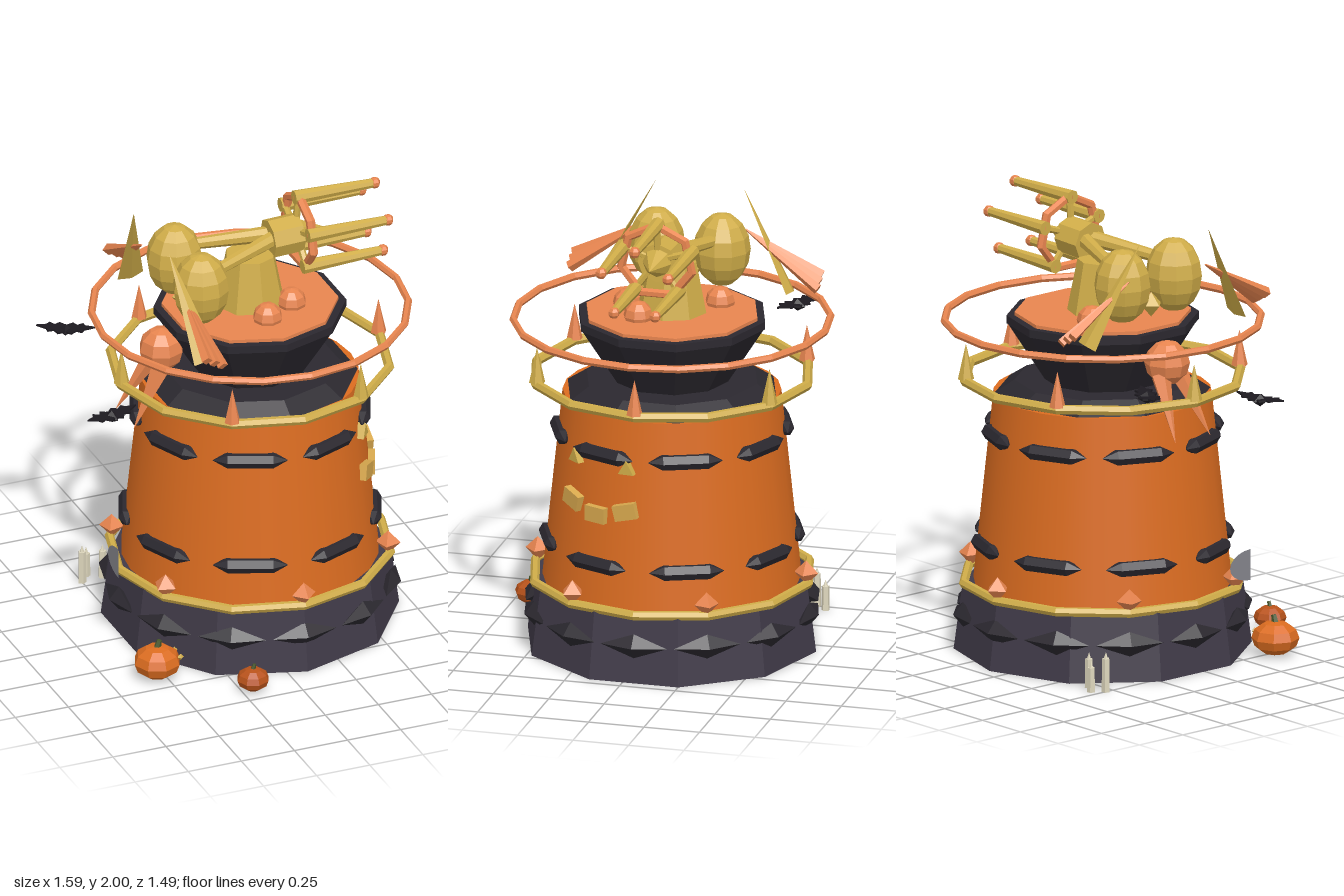
import * as THREE from 'three';

const mat = (color) => new THREE.MeshStandardMaterial({ color, flatShading: true, side: THREE.DoubleSide });
const V = (x, y, z) => new THREE.Vector3(x, y, z);

export function createModel() {
  const root = new THREE.Group();
  const orange = mat(0xdb6c20), dark = mat(0x2b282f), slate = mat(0x403a48), gold = mat(0xd0ad49);
  const coral = mat(0xe8854f), black = mat(0x1d1a20), deepOrange = mat(0xb8521a), wax = mat(0xddd6bc);
  const stone = mat(0x85858c), pale = mat(0xd9a94e), green = mat(0x46552a);
  const smoothOrange = orange.clone();
  smoothOrange.flatShading = false;

  const add = (name, geo, material, x = 0, y = 0, z = 0, parent = root) => {
    const m = new THREE.Mesh(geo, material);
    m.name = name;
    m.position.set(x, y, z);
    parent.add(m);
    return m;
  };
  // Tapered rod between two points
  const bar = (name, a, b, r1, r2, material, sides = 8, parent = root) => {
    const d = b.clone().sub(a);
    const m = add(name, new THREE.CylinderGeometry(r2, r1, d.length(), sides), material, 0, 0, 0, parent);
    m.position.copy(a).lerp(b, 0.5);
    m.quaternion.setFromUnitVectors(V(0, 1, 0), d.normalize());
    return m;
  };

  // Tower: everything concentric lives in one offset group
  const tower = new THREE.Group();
  tower.name = 'tower';
  tower.position.set(0.085, 0, -0.05);
  root.add(tower);
  const tier = (name, y0, y1, r0, r1, sides, material) =>
    add(name, new THREE.CylinderGeometry(r1, r0, y1 - y0, sides), material, 0, (y0 + y1) / 2, 0, tower);
  const hoop = (name, y, r, tube, sides, material) =>
    add(name, new THREE.TorusGeometry(r, tube, 6, sides).rotateX(Math.PI / 2), material, 0, y, 0, tower);
  // Local +z of the part faces away from the tower axis
  const polar = (name, geo, material, angle, r, y) => {
    const m = add(name, geo, material, Math.sin(angle) * r, y, Math.cos(angle) * r, tower);
    m.rotation.y = angle;
    return m;
  };

  tier('base', 0, 0.3, 0.65, 0.61, 10, slate);
  tier('body', 0.3, 1.15, 0.563, 0.475, 24, smoothOrange);
  tier('shoulder', 1.15, 1.205, 0.47, 0.385, 10, dark);
  tier('neck', 1.2, 1.46, 0.25, 0.415, 10, dark);
  tier('deckRim', 1.46, 1.495, 0.42, 0.42, 10, dark);
  tier('deck', 1.47, 1.51, 0.385, 0.385, 10, coral);
  tier('pedestal', 1.51, 1.74, 0.155, 0.11, 8, gold);
  hoop('baseHoop', 0.31, 0.615, 0.021, 12, gold);
  hoop('spikeRing', 1.22, 0.61, 0.022, 12, gold);
  hoop('outerRing', 1.475, 0.69, 0.017, 20, coral);

  // Dark lozenges around the body and base
  const lozenge = new THREE.LatheGeometry(
    [[0, -0.165], [0.036, -0.1], [0.036, 0.1], [0, 0.165]].map((p) => new THREE.Vector2(...p)), 6).rotateZ(Math.PI / 2);
  for (let i = 0; i < 8; i++) {
    const a = ((i + 0.5) * Math.PI) / 4;
    polar('upperLozenge', lozenge, dark, a, 0.487, 0.98);
    polar('lowerLozenge', lozenge, dark, a, 0.535, 0.49);
  }
  const diamond = new THREE.OctahedronGeometry(1).scale(0.15, 0.055, 0.045);
  for (let i = 0; i < 12; i++) polar('baseDiamond', diamond, dark, (i * Math.PI) / 6, 0.617, 0.17);

  // Six studs and six alternating spikes
  for (let i = 0; i < 6; i++) {
    polar('stud', new THREE.OctahedronGeometry(0.055), coral, (i * Math.PI) / 3, 0.605, 0.36);
    polar('spike', new THREE.ConeGeometry(0.036, 0.16, 6), i % 2 ? gold : coral, Math.PI / 2 + (i * Math.PI) / 3, 0.605, 1.31);
  }

  // Carved face: two eyes and a stepped mouth
  for (const deg of [51, 83]) {
    const eye = polar('eye', new THREE.CylinderGeometry(0.042, 0.042, 0.05, 3).rotateX(-Math.PI / 2), gold,
      THREE.MathUtils.degToRad(deg), 0.5, 0.94);
    eye.rotateZ(0);
  }
  [-1, 0, 1].forEach((k) => {
    const tooth = polar('mouthBlock', new THREE.BoxGeometry(0.105, 0.07, 0.035), pale,
      THREE.MathUtils.degToRad(67 + k * 16), 0.525, 0.715 + Math.abs(k) * 0.035);
    tooth.rotateZ(k * 0.25);
  });

  // Domes on the deck
  for (const [x, z] of [[-0.05, -0.23], [0.085, 0.15], [0.235, 0.06]])
    add('deckDome', new THREE.SphereGeometry(0.066, 8, 6), coral, x, 1.525, z);

  // Cannon hub, ring and five prongs
  const cy = 1.81, cz = -0.045;
  bar('hub', V(0.17, 1.795, cz), V(0.31, 1.8, cz), 0.088, 0.088, gold);
  bar('hubTip', V(0.3, 1.8, cz), V(0.43, 1.8, cz), 0.07, 0.002, gold);
  add('prongRing', new THREE.TorusGeometry(0.163, 0.021, 6, 7).rotateZ(Math.PI / 2).rotateY(Math.PI / 2), coral, 0.315, cy, cz);
  for (let i = 0; i < 5; i++) {
    const a = (i * Math.PI * 2) / 5;
    const at = (x, r) => V(x, cy + Math.cos(a) * r, cz + Math.sin(a) * r);
    bar('spoke', at(0.3, 0.04), at(0.31, 0.16), 0.016, 0.016, gold, 6);
    bar('prong', at(0.29, 0.163), at(0.67, 0.158), 0.032, 0.021, gold);
    add('prongJoint', new THREE.SphereGeometry(0.027, 6, 5), coral, ...at(0.315, 0.163).toArray());
    add('prongTip', new THREE.SphereGeometry(0.026, 6, 5), coral, ...at(0.67, 0.158).toArray());
  }

  // Mirrored pairs: balloon tanks, arms, wings and horns
  for (const s of [-1, 1]) {
    const z = (d) => cz + s * d;
    add('tank', new THREE.SphereGeometry(0.125, 10, 8).scale(1, 1.32, 1), gold, -0.21, 1.705, z(0.148));
    bar('arm', V(-0.15, 1.765, z(0.14)), V(0.22, 1.81, z(0.01)), 0.025, 0.037, gold);
    const fin = bar('fin', V(-0.3, 1.5, z(0.43)), V(-0.38, 1.93, z(0.2)), 0.06, 0.001, gold, 4);
    fin.scale.z = 0.25;
    for (let k = -1; k <= 1; k++)
      bar('feather', V(-0.315 + k * 0.037, 1.555 - k * 0.02, z(0.56)), V(-0.335, 1.76, z(0.22)), 0.025, 0.004, coral, 4);
    bar('horn', V(-0.35, 1.31, z(0.05)), V(-0.505, 1.05, z(0.1)), 0.045, 0.001, coral, 5);
  }
  add('rearOrb', new THREE.SphereGeometry(0.1, 8, 6), coral, -0.335, 1.36, cz);
  add('rearGem', new THREE.OctahedronGeometry(0.055), gold, -0.23, 1.6, cz);

  // Bats: two pointed scalloped wings on a small body
  const wing = new THREE.Shape([[0, -0.03], [0.03, -0.05], [0.05, -0.025], [0.075, -0.04], [0.085, -0.018],
    [0.13, 0], [0.085, 0.018], [0.075, 0.04], [0.05, 0.025], [0.03, 0.05], [0, 0.03]].map((p) => new THREE.Vector2(...p)));
  const wingGeo = new THREE.ExtrudeGeometry(wing, { depth: 0.008, bevelEnabled: false }).rotateX(-Math.PI / 2);
  for (const [x, y, z, turn] of [[-0.63, 1.33, -0.415, -0.48], [-0.67, 1.215, 0.2, 0.21]]) {
    const bat = new THREE.Group();
    bat.name = 'bat';
    bat.position.set(x, y, z);
    bat.rotation.y = turn;
    root.add(bat);
    add('batBody', new THREE.OctahedronGeometry(0.035).scale(1, 0.8, 1.4), black, 0, 0, 0, bat);
    for (const s of [0, 1]) {
      const w = add('batWing', wingGeo, black, 0, 0, 0, bat);
      w.rotation.set(0, s * Math.PI, 0.1);
      w.rotation.order = 'YXZ';
    }
  }

  // Pumpkins beside the base
  for (const [x, z, r, m] of [[-0.54, 0.4, 0.105, orange], [-0.2, 0.665, 0.072, deepOrange]]) {
    add('pumpkin', new THREE.SphereGeometry(r, 8, 6).scale(1, 0.72, 1), m, x, r * 0.78, z);
    bar('pumpkinStem', V(x, r * 1.4, z), V(x + r * 0.1, r * 1.75, z), r * 0.16, r * 0.11, green, 5);
  }
  for (const dz of [-0.035, 0.035])
    add('pumpkinEye', new THREE.OctahedronGeometry(0.016), gold, -0.445, 0.1, 0.4 + dz);

  // Candles
  for (const [x, z, h] of [[-0.5, -0.54, 0.15], [-0.46, -0.59, 0.11], [-0.4, -0.55, 0.13]]) {
    add('candle', new THREE.CylinderGeometry(0.017, 0.019, h, 5), wax, x, h / 2, z);
    add('candleFlame', new THREE.ConeGeometry(0.01, 0.03, 5), wax, x, h + 0.015, z);
  }

  // Thin half-moon plate standing off the side
  add('halfMoon', new THREE.CircleGeometry(0.07, 10, -Math.PI / 2, Math.PI).scale(1.7, 1, 1).rotateY(Math.PI / 2),
    stone, -0.63, 0.47, 0.18);
  return root;
}
